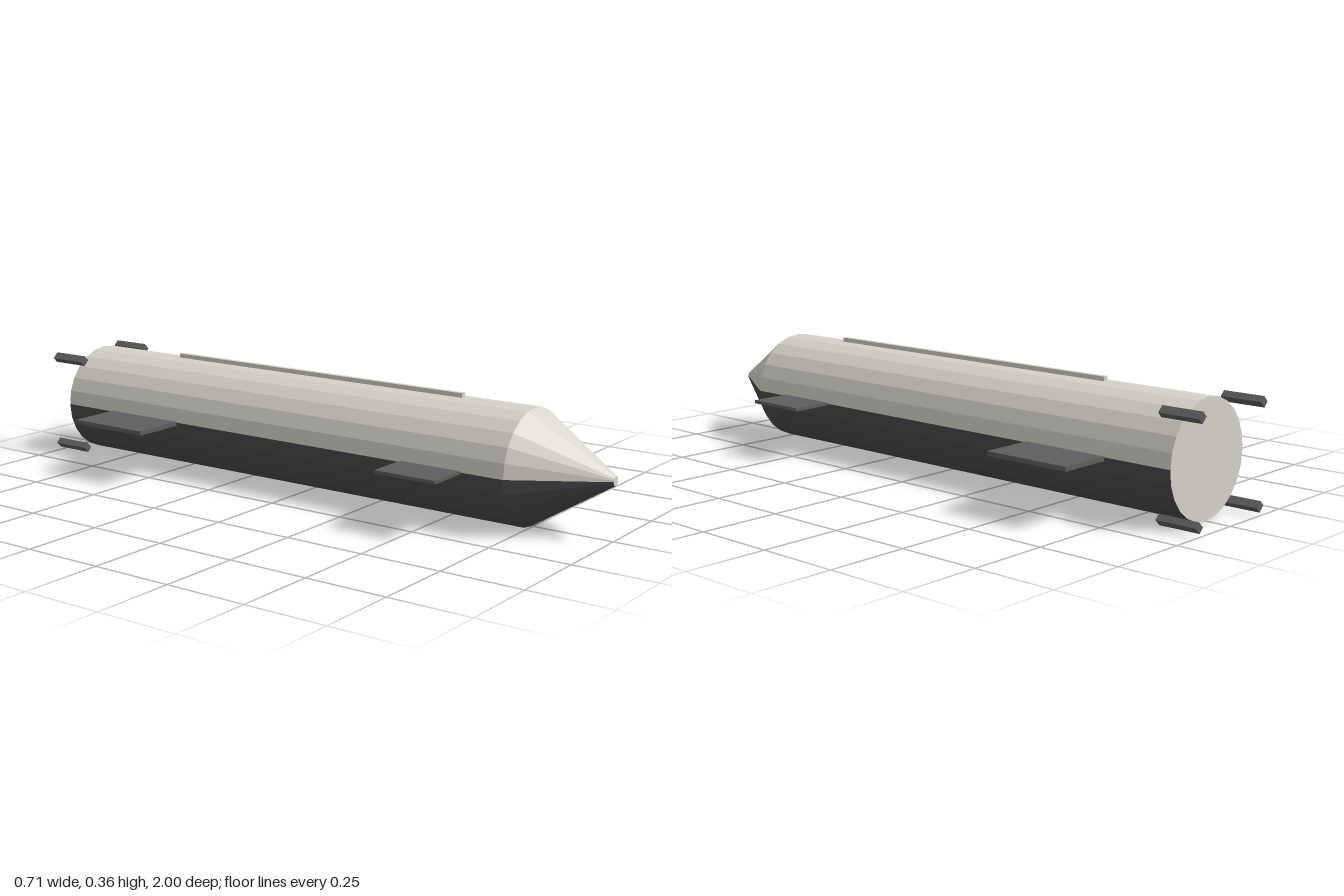
import * as THREE from 'three';

const CY = 0.175;      // height of the long axis
const R = 0.1735;      // hull radius
const TIP_R = 0.014;   // blunt nose tip radius
const REAR = -0.92, SHOULDER = 0.745, TIP = 1;
const SIDES = 24;

export function createModel() {
  const model = new THREE.Group();
  model.name = 'spacecraft';

  const paint = (name, color) => {
    const m = new THREE.MeshStandardMaterial({ color });
    m.name = name;
    return m;
  };
  const lightHull = paint('light hull', 0xd6d3ca);
  const darkBelly = paint('dark belly', 0x4a4a4d);
  const finGrey = paint('fin grey', 0x5e5e61);

  const add = (name, geometry, material, x, y, z, roll = 0) => {
    const mesh = new THREE.Mesh(geometry, material);
    mesh.name = name;
    mesh.position.set(x, y, z);
    mesh.rotation.z = roll;
    model.add(mesh);
  };

  // Faceted half shell along z; theta 0 points down once laid flat
  const halfShell = (rFront, rBack, z0, z1, start) => {
    const g = new THREE.CylinderGeometry(rFront, rBack, z1 - z0, SIDES / 2, 1, true, start, Math.PI)
      .rotateX(Math.PI / 2).toNonIndexed();
    g.computeVertexNormals();
    return g;
  };

  // Hull and nose, each in a light upper and a dark lower half
  for (const [label, material, start] of [
    ['upper', lightHull, Math.PI / 2],
    ['lower', darkBelly, -Math.PI / 2],
  ]) {
    add(label + 'Hull', halfShell(R, R, REAR, SHOULDER, start), material, 0, CY, (REAR + SHOULDER) / 2);
    add(label + 'Nose', halfShell(TIP_R, R, SHOULDER, TIP, start), material, 0, CY, (SHOULDER + TIP) / 2);
  }

  // Flat rear bulkhead and nose tip
  add('rearBulkhead', new THREE.CircleGeometry(R, SIDES).rotateY(Math.PI), lightHull, 0, CY, REAR);
  add('noseTip', new THREE.CircleGeometry(TIP_R, SIDES), lightHull, 0, CY, TIP);

  // Raised spine along the top
  add('spine', new THREE.BoxGeometry(0.016, 0.014, 1.08), lightHull, 0, 0.354, -0.03);

  for (const side of [1, -1]) {
    const label = side > 0 ? 'left' : 'right';
    // Horizontal fins, standing slightly clear of the hull
    add(label + 'FrontFin', new THREE.BoxGeometry(0.131, 0.01, 0.2), finGrey, side * 0.2425, CY, 0.51);
    add(label + 'RearFin', new THREE.BoxGeometry(0.167, 0.0135, 0.278), finGrey, side * 0.27, CY, -0.573);

    // Diagonal tail rods
    for (const up of [1, -1]) {
      add(label + (up > 0 ? 'Upper' : 'Lower') + 'TailRod',
        new THREE.BoxGeometry(0.021, 0.025, 0.13), finGrey,
        side * 0.148, CY + up * 0.148, -0.935, side * up * Math.PI / 4);
    }
  }
  return model;
}
